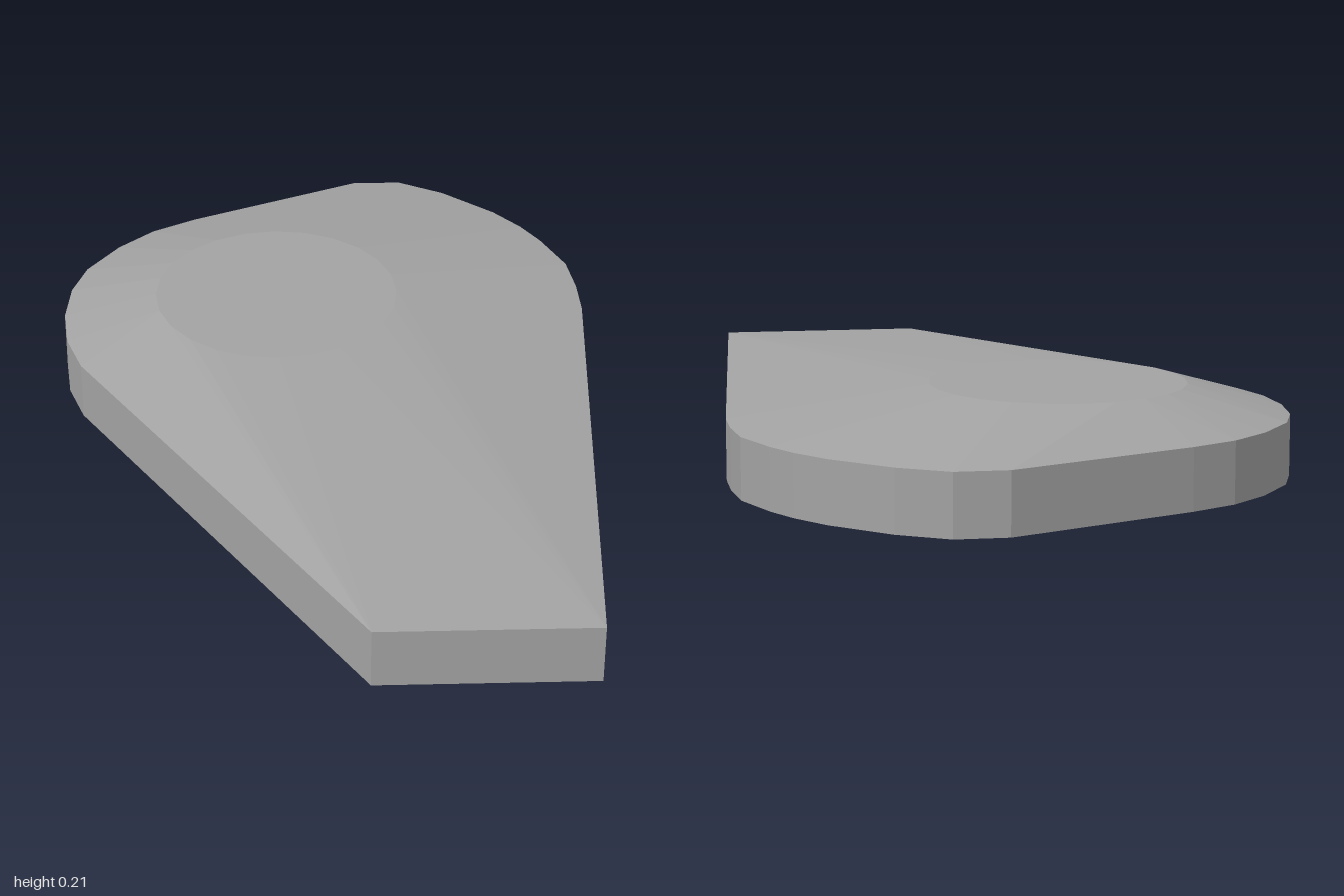
import * as THREE from 'three';
import { ConvexGeometry } from 'three/addons/geometries/ConvexGeometry.js';

export function createModel() {
  const group = new THREE.Group();
  group.name = 'wedgePlate';
  const grey = new THREE.MeshStandardMaterial({ color: 0xa3a3a3 });
  grey.name = 'plain grey';

  // Plan outline as [x, z]: narrow front edge, right curve, back edge, left curve
  const outline = [
    [0.06, 1], [0.56, 1],
    [0.648, -0.32], [0.645, -0.43], [0.63, -0.545], [0.575, -0.67],
    [0.53, -0.745], [0.465, -0.825], [0.336, -0.937], [0.222, -1], [0.1, -1],
    [-0.33, -0.81], [-0.437, -0.75], [-0.525, -0.667], [-0.603, -0.555],
    [-0.638, -0.45], [-0.65, -0.325], [-0.638, -0.2], [-0.6, -0.085],
  ];
  const points = [];
  for (const [x, z] of outline) {
    points.push(new THREE.Vector3(x, 0, z), new THREE.Vector3(x, 0.143, z));
  }

  // Flat round crown that the sloping top rises to
  const sides = 24;
  for (let i = 0; i < sides; i++) {
    const a = (i / sides) * Math.PI * 2;
    points.push(new THREE.Vector3(-0.12 + 0.3 * Math.cos(a), 0.21, -0.31 + 0.31 * Math.sin(a)));
  }

  // Faceted body wrapped around the outline and the crown
  const body = new THREE.Mesh(new ConvexGeometry(points), grey);
  body.name = 'body';
  group.add(body);
  return group;
}
